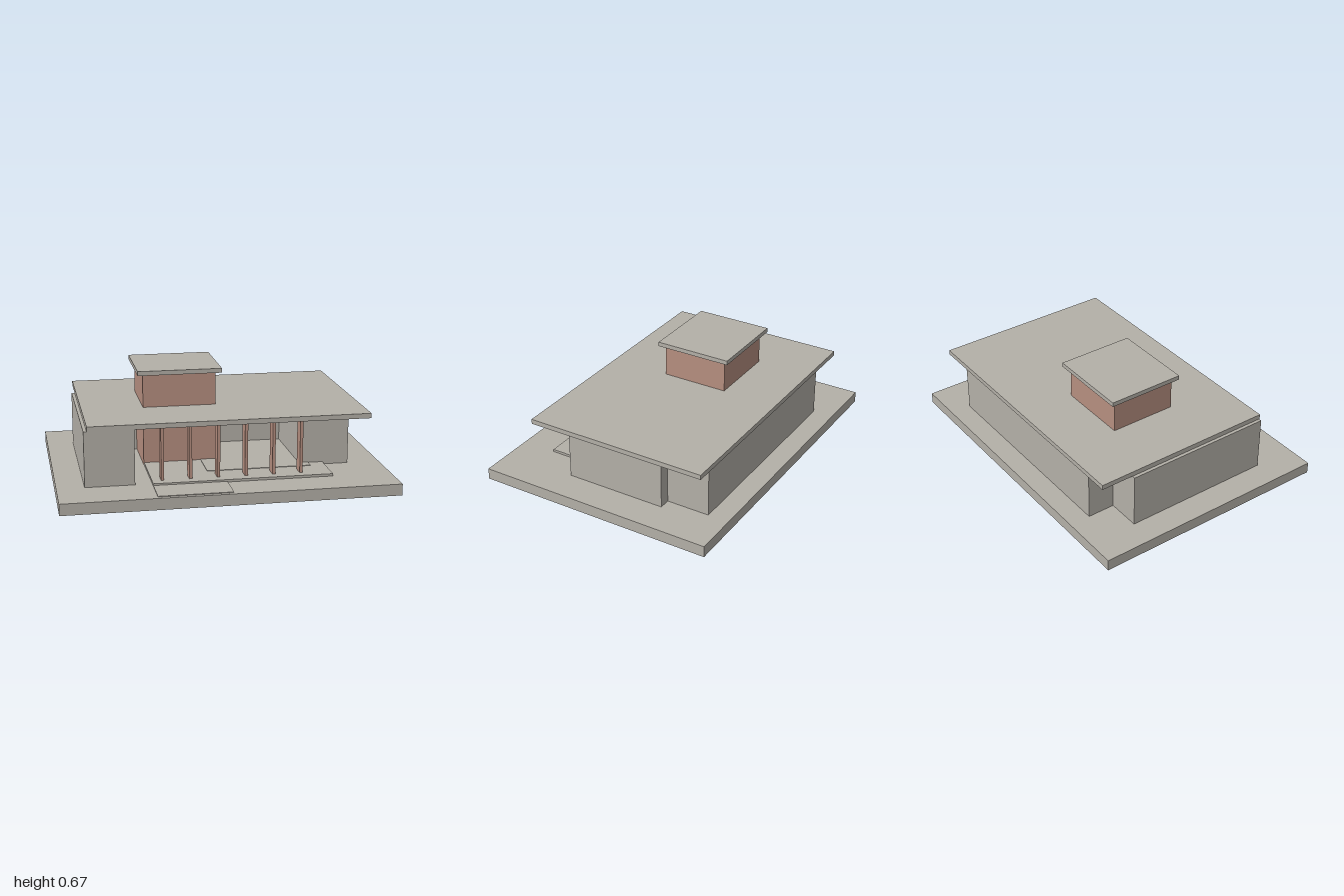
import * as THREE from 'three';

export function createModel() {
  const model = new THREE.Group();
  model.name = 'pavilion';

  const concrete = new THREE.MeshStandardMaterial({ color: 0xb4b0a8 });
  concrete.name = 'warm grey concrete';
  const brick = new THREE.MeshStandardMaterial({ color: 0xb68f80 });
  brick.name = 'terracotta brick';

  // Box given by its limits along each axis
  function block(name, material, [x0, x1], [y0, y1], [z0, z1], parent = model) {
    const mesh = new THREE.Mesh(new THREE.BoxGeometry(x1 - x0, y1 - y0, z1 - z0), material);
    mesh.position.set((x0 + x1) / 2, (y0 + y1) / 2, (z0 + z1) / 2);
    mesh.name = name;
    parent.add(mesh);
    return mesh;
  }

  const ground = 0.07, terraceTop = 0.085, eaves = 0.405;

  // Plinth and low paving
  block('basePlinth', concrete, [-1, 1], [0, ground], [-0.75, 0.75]);
  block('terrace', concrete, [-0.44, 0.64], [ground, terraceTop], [-0.26, 0.53]);
  block('entryStep', concrete, [-0.44, 0], [ground, 0.074], [0.53, 0.725]);
  block('hallFloor', concrete, [-0.09, 0.55], [terraceTop, 0.088], [-0.25, 0.35]);

  // Three wings around the open hall
  block('leftHandWing', concrete, [-0.835, -0.54], [ground, eaves], [-0.45, 0.485]);
  block('rearWing', concrete, [-0.63, 0.73], [ground, eaves], [-0.62, -0.24]);
  block('sideWing', concrete, [0.49, 0.8], [ground, 0.37], [-0.35, 0.285]);

  // Main roof slab
  block('mainRoof', concrete, [-0.815, 0.88], [eaves, 0.435], [-0.655, 0.49]);

  // Tower rising through the roof, with its cap
  block('tower', brick, [-0.442, 0.005], [ground, 0.638], [-0.305, 0.11]);
  block('towerRoof', concrete, [-0.475, 0.04], [0.638, 0.665], [-0.34, 0.14]);

  // Row of fin columns along the front
  const columns = new THREE.Group();
  columns.name = 'frontColumns';
  model.add(columns);
  for (let i = 0; i < 6; i++) {
    const x = -0.377 + i * 0.167;
    block('column', brick, [x - 0.009, x + 0.009], [terraceTop, eaves], [0.4, 0.475], columns);
  }

  return model;
}
